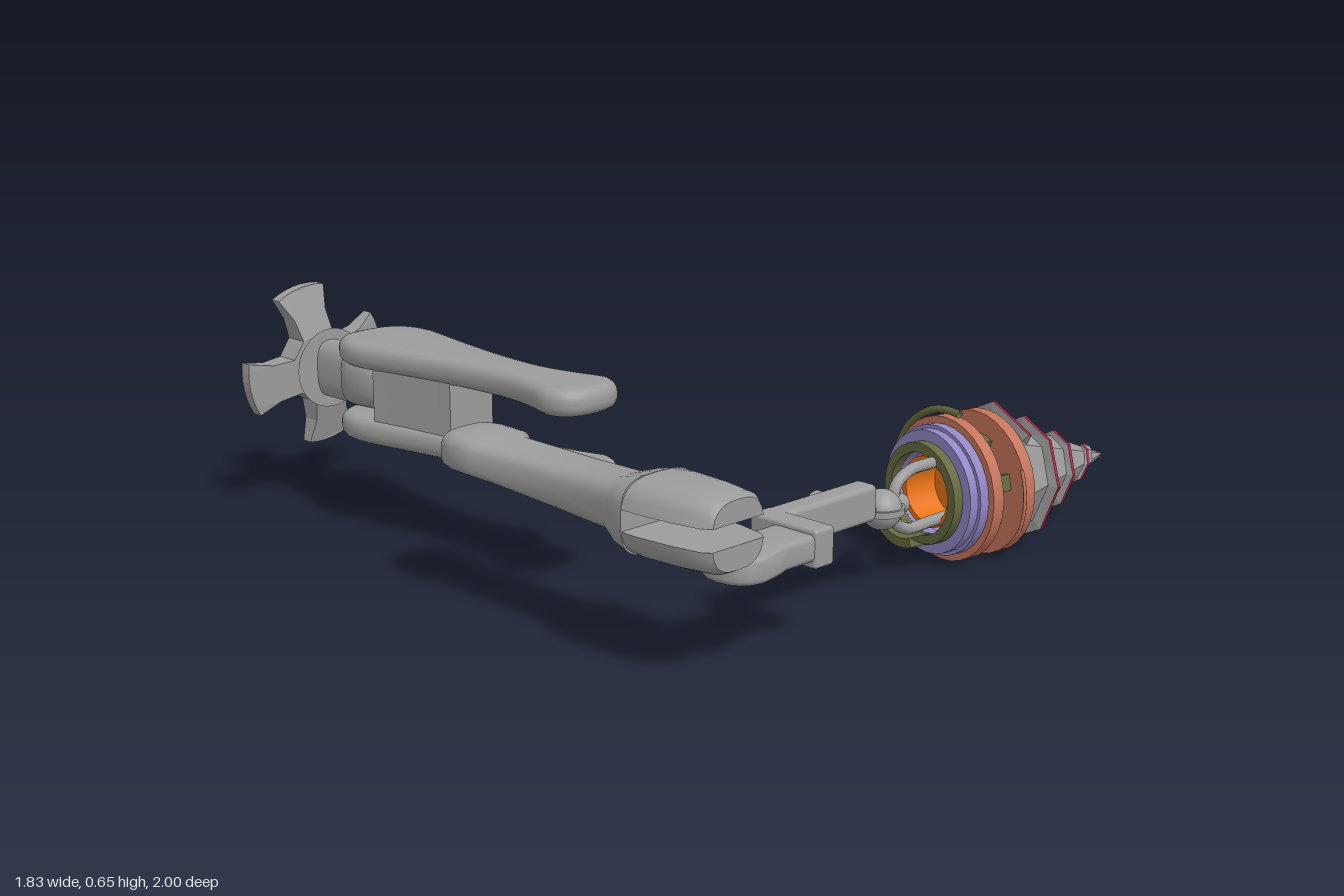
import * as THREE from 'three';
import { toCreasedNormals } from 'three/addons/utils/BufferGeometryUtils.js';
import { RoundedBoxGeometry } from 'three/addons/geometries/RoundedBoxGeometry.js';

const paint = (name, color) => {
  const m = new THREE.MeshStandardMaterial({ color, side: THREE.DoubleSide });
  m.name = name;
  return m;
};
const steel = paint('steel grey', 0x9c9c9c);
const copper = paint('copper', 0xc4735a);
const lavender = paint('lavender', 0x9186c4);
const orange = paint('orange', 0xe87416);
const olive = paint('olive', 0x66683f);
const crimson = paint('crimson', 0xb01c40);

function add(parent, name, geo, mat, x = 0, y = 0, z = 0) {
  const m = new THREE.Mesh(geo, mat);
  m.name = name;
  m.position.set(x, y, z);
  parent.add(m);
  return m;
}

// Rounded body along z; sections are [z, halfWidth, centreY, halfHeight]
function loft(sections, cx, power = 0.7, lo = -9, hi = 9) {
  const n = 28, pos = [], idx = [];
  const bend = v => Math.sign(v) * Math.abs(v) ** power;
  const clampY = y => Math.min(hi, Math.max(lo, y));
  for (const [z, w, cy, h] of sections)
    for (let j = 0; j < n; j++) {
      const a = j / n * Math.PI * 2;
      pos.push(cx + w * bend(Math.cos(a)), clampY(cy + h * bend(Math.sin(a))), z);
    }
  const last = sections.length - 1;
  for (const s of [0, last]) pos.push(cx, clampY(sections[s][2]), sections[s][0]);
  const c0 = n * (last + 1);
  for (let j = 0; j < n; j++) {
    const k = (j + 1) % n;
    for (let i = 0; i < last; i++) {
      const a = i * n + j, b = i * n + k;
      idx.push(a, b, b + n, a, b + n, a + n);
    }
    idx.push(c0, k, j, c0 + 1, last * n + j, last * n + k);
  }
  const g = new THREE.BufferGeometry();
  g.setAttribute('position', new THREE.Float32BufferAttribute(pos, 3));
  g.setIndex(idx);
  return toCreasedNormals(g, 0.7);
}

// Slab with a plan outline in x and z, from y0 up to y1, with rounded rims
function slab(shape, y0, y1, bevel) {
  const g = new THREE.ExtrudeGeometry(shape, {
    depth: y1 - y0 - 2 * bevel, bevelEnabled: bevel > 0, bevelSize: bevel,
    bevelThickness: bevel, bevelOffset: -bevel, bevelSegments: 4, curveSegments: 8,
  });
  g.rotateX(-Math.PI / 2).translate(0, y0 + bevel, 0);
  return toCreasedNormals(g, 0.6);
}

// Hollow ring or ring sector around the x axis
function ring(x, width, outer, inner, start = 0, length = Math.PI * 2) {
  const h = width / 2;
  const profile = [[inner, -h], [outer, -h], [outer, h], [inner, h], [inner, -h]]
    .map(p => new THREE.Vector2(...p));
  const g = new THREE.LatheGeometry(profile, 32, start, length);
  g.rotateZ(-Math.PI / 2).translate(x, 0, 0);
  return toCreasedNormals(g, 0.6);
}

// Tube arc around the x axis
const arc = (x, radius, tube, from, to) =>
  new THREE.TorusGeometry(radius, tube, 8, 24, to - from)
    .rotateZ(from).rotateY(Math.PI / 2).translate(x, 0, 0);

function buildMount(root) {
  const g = new THREE.Group();
  g.name = 'mount';
  root.add(g);
  // Four flared blades that get thinner toward the rim
  const pts = [];
  for (let k = 0; k < 4; k++) {
    const c = 1.77 + k * Math.PI / 2;
    const p = (r, a) => pts.push(new THREE.Vector2(r * Math.cos(c + a), r * Math.sin(c + a)));
    p(0.11, -0.5);
    p(0.17, -0.34);
    for (let i = -3; i <= 3; i++) p(0.24, i * 0.115);
    p(0.17, 0.34);
    p(0.11, 0.5);
  }
  const star = new THREE.ExtrudeGeometry(new THREE.Shape(pts), { depth: 0.075, bevelEnabled: false });
  const v = star.attributes.position;
  for (let i = 0; i < v.count; i++)
    if (v.getZ(i) > 0.01)
      v.setZ(i, 0.075 - 0.04 * (Math.hypot(v.getX(i), v.getY(i)) - 0.11) / 0.13);
  star.computeVertexNormals();
  add(g, 'mountBlades', star, steel, -0.55, 0.415, -1);
  const disc = new THREE.CylinderGeometry(0.118, 0.105, 0.018, 32).rotateX(Math.PI / 2);
  add(g, 'mountDisc', disc, steel, -0.55, 0.415, -0.9);
  add(g, 'mountShaft', loft([[-0.94, 0.05, 0.415, 0.085], [-0.765, 0.05, 0.415, 0.085],
    [-0.75, 0.07, 0.42, 0.085], [-0.71, 0.08, 0.42, 0.085], [-0.63, 0.08, 0.42, 0.08],
    [-0.59, 0.07, 0.42, 0.07], [-0.57, 0.04, 0.42, 0.045]], -0.55), steel);
}

function buildUpperArm(root) {
  const g = new THREE.Group();
  g.name = 'upperArm';
  root.add(g);
  // Bone outline: [half width, z], mirrored about the centre line
  const half = [[0.06, -0.725], [0.115, -0.69], [0.143, -0.61], [0.115, -0.42], [0.085, -0.22],
    [0.075, -0.02], [0.095, 0.1], [0.115, 0.19], [0.09, 0.245], [0.04, 0.268]];
  const outline = [...half.map(([w, z]) => [-0.55 + w, -z]),
    ...half.slice().reverse().map(([w, z]) => [-0.55 - w, -z])];
  const curve = new THREE.CatmullRomCurve3(outline.map(([x, y]) => new THREE.Vector3(x, y, 0)), true);
  const bone = new THREE.Shape(curve.getPoints(72).slice(0, -1).map(p => new THREE.Vector2(p.x, p.y)));
  add(g, 'lowerPlate', slab(bone, 0.27, 0.345, 0.03), steel);
  add(g, 'upperPlate', slab(bone, 0.485, 0.56, 0.03), steel);
  // Solid web joining the plates, flared where it meets them
  const web = [[-0.53, 0.12], [-0.42, 0.1], [-0.245, 0.075]];
  const webShape = new THREE.Shape([...web.map(([z, w]) => new THREE.Vector2(-0.55 + w, -z)),
    ...web.slice().reverse().map(([z, w]) => new THREE.Vector2(-0.55 - w, -z))]);
  add(g, 'web', slab(webShape, 0.31, 0.52, 0), steel);
}

function buildForearm(root) {
  const g = new THREE.Group();
  g.name = 'forearm';
  root.add(g);
  const cx = -0.795;
  add(g, 'forearmShaft', loft([[0, 0.035, 0.41, 0.025], [0.012, 0.065, 0.41, 0.04],
    [0.04, 0.092, 0.41, 0.053], [0.08, 0.102, 0.41, 0.055], [0.165, 0.102, 0.408, 0.055],
    [0.195, 0.083, 0.4, 0.054], [0.45, 0.082, 0.392, 0.06], [0.63, 0.085, 0.387, 0.066],
    [0.69, 0.115, 0.386, 0.085], [0.74, 0.125, 0.385, 0.098]], cx, 0.6), steel);
  // Fork of two prongs
  const head = [[0.735, 0.124, 0.385, 0.097], [0.79, 0.125, 0.385, 0.1], [0.9, 0.115, 0.385, 0.099],
    [0.98, 0.1, 0.385, 0.095], [1, 0.085, 0.385, 0.085]];
  add(g, 'upperProng', loft(head, cx, 0.7, 0.415), steel);
  add(g, 'lowerProng', loft(head, cx, 0.7, -9, 0.36), steel);
}

function buildWrist(root) {
  const g = new THREE.Group();
  g.name = 'wrist';
  root.add(g);
  const tongue = new THREE.Shape();
  tongue.moveTo(-0.44, -0.95);
  tongue.lineTo(-0.44, -0.81);
  tongue.lineTo(-0.57, -0.81);
  tongue.quadraticCurveTo(-0.63, -0.79, -0.68, -0.79);
  tongue.bezierCurveTo(-0.78, -0.8, -0.78, -0.97, -0.68, -0.975);
  tongue.quadraticCurveTo(-0.62, -0.97, -0.57, -0.95);
  add(g, 'wristTongue', slab(tongue, 0.228, 0.297, 0.015), steel);
  add(g, 'wristBlock', new RoundedBoxGeometry(0.07, 0.1, 0.22, 3, 0.01), steel, -0.44, 0.26, 0.845);
  add(g, 'wristBar', new RoundedBoxGeometry(0.41, 0.1, 0.07, 3, 0.015), steel, -0.268, 0.26, 0.77);
  const pin = new THREE.CylinderGeometry(0.04, 0.04, 0.08, 24).rotateX(Math.PI / 2);
  add(g, 'wristPin', pin, steel, -0.145, 0.24, 0.7);
  // Ball link and U-shaped shackle
  const neck = new THREE.CylinderGeometry(0.018, 0.032, 0.08, 16).rotateZ(-Math.PI / 2);
  add(g, 'linkNeck', neck, steel, -0.075, 0.232, 0.77);
  add(g, 'linkBall', new THREE.SphereGeometry(0.055, 24, 16), steel, -0.005, 0.222, 0.77);
  const collar = new THREE.CylinderGeometry(0.062, 0.062, 0.018, 24);
  add(g, 'linkCollar', collar, steel, -0.005, 0.222, 0.77);
  const tip = new THREE.CylinderGeometry(0.026, 0.026, 0.06, 16).rotateZ(Math.PI / 2);
  add(g, 'linkTip', tip, steel, 0.05, 0.222, 0.77);
  const path = new THREE.CatmullRomCurve3([[0.3, 0.3], [0.2, 0.305], [0.11, 0.302], [0.06, 0.275],
    [0.045, 0.222], [0.06, 0.17], [0.11, 0.142], [0.2, 0.14], [0.3, 0.14]]
    .map(([x, y]) => new THREE.Vector3(x, y, 0.765)));
  add(g, 'shackle', new THREE.TubeGeometry(path, 48, 0.016, 10), steel);
}

function buildDrill(root) {
  const g = new THREE.Group();
  g.name = 'drill';
  g.position.set(0.32, 0.205, 0.733);
  g.rotation.y = -0.17;
  root.add(g);

  // Motor housing: hollow rings around an orange core
  add(g, 'rearRing', ring(-0.088, 0.03, 0.142, 0.115), olive);
  add(g, 'lavenderRing', ring(-0.055, 0.035, 0.172, 0.115), lavender);
  add(g, 'lavenderLip', ring(-0.03, 0.03, 0.182, 0.12), lavender);
  add(g, 'rearCopperRing', ring(0.002, 0.036, 0.202, 0.12), copper);
  add(g, 'frontCopperRing', ring(0.117, 0.036, 0.202, 0.1), copper);
  add(g, 'core', ring(0.02, 0.19, 0.1, 0.085), orange);
  add(g, 'coreFloor', ring(0.04, 0.02, 0.09, 0), orange);
  for (let i = 0; i < 6; i++) {
    const s = add(g, 'strut', new THREE.BoxGeometry(0.1, 0.02, 0.045), olive, 0.06);
    s.geometry.translate(0, 0.135, 0);
    s.rotation.x = i * Math.PI / 3 + 0.3;
  }
  add(g, 'rearFlap', ring(-0.13, 0.08, 0.138, 0.112, 1.2, 1), olive);
  add(g, 'handle', arc(0, 0.217, 0.011, 0, 1.75), olive);
  add(g, 'sideTrim', arc(0.075, 0.225, 0.005, 2.75, 3.5), copper);

  // Eight-sided cone
  const tip = 0.6, base = 0.125;
  const cone = new THREE.ConeGeometry(0.4 * (tip - base), tip - base, 8).rotateZ(-Math.PI / 2).toNonIndexed();
  cone.computeVertexNormals();
  add(g, 'drillCone', cone, steel, (tip + base) / 2);

  // Spiral cutter: faceted wedge with a coloured edge
  const point = (t, dx, slope) => {
    const x = 0.193 + 0.118 * t / (Math.PI * 2);
    const r = slope * Math.max(0, tip - x);
    return [Math.min(x + dx, tip), -r * Math.sin(t), -r * Math.cos(t)];
  };
  const strip = (a, b) => {
    const pos = [], step = Math.PI / 4;
    for (let i = -3; i < 26; i++) {
      const t = i * step, u = t + step;
      const p = point(t, ...a), q = point(u, ...a), r = point(u, ...b), s = point(t, ...b);
      pos.push(...p, ...q, ...r, ...p, ...r, ...s);
    }
    const geo = new THREE.BufferGeometry();
    geo.setAttribute('position', new THREE.Float32BufferAttribute(pos, 3));
    geo.computeVertexNormals();
    return geo;
  };
  const backRoot = [-0.012, 0.38], backEdge = [-0.005, 0.505];
  const frontEdge = [0.004, 0.505], frontRoot = [0.03, 0.36];
  add(g, 'cutterBack', strip(backEdge, backRoot), steel);
  add(g, 'cutterEdge', strip(frontEdge, backEdge), crimson);
  add(g, 'cutterFront', strip(frontRoot, frontEdge), steel);
}

export function createModel() {
  const root = new THREE.Group();
  root.name = 'drillArm';
  [buildMount, buildUpperArm, buildForearm, buildWrist, buildDrill].forEach(build => build(root));
  return root;
}
